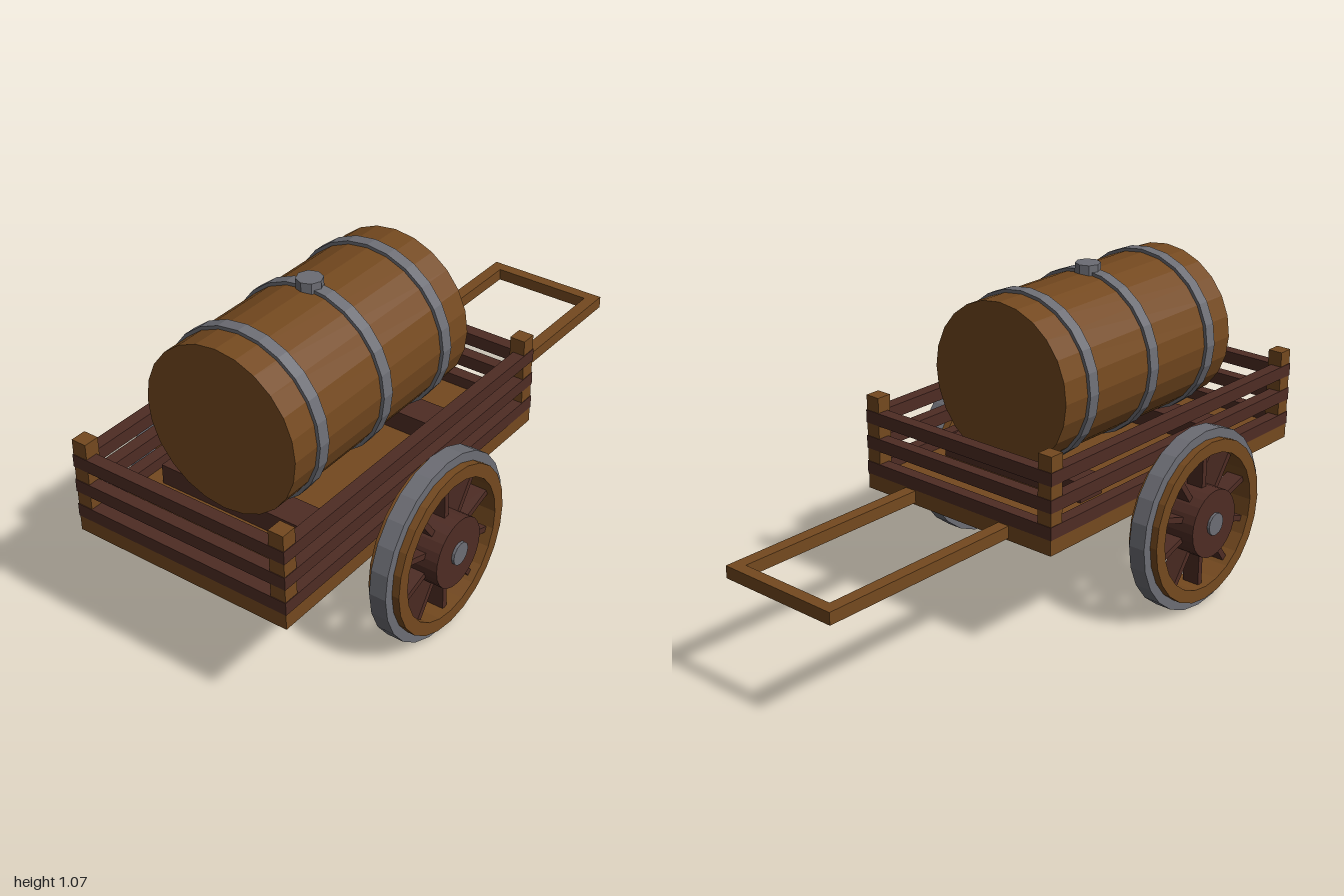
import * as THREE from 'three';

const material = (name, color) => {
  const m = new THREE.MeshStandardMaterial({ color });
  m.name = name;
  return m;
};

export function createModel() {
  const wood = material('wood', 0x74491f);
  const darkWood = material('darkWood', 0x4e2c24);
  const iron = material('iron', 0x6c6d74);
  const model = new THREE.Group();
  model.name = 'barrelCart';

  // Adds a mesh with faceted normals
  const add = (parent, name, geometry, mat, x = 0, y = 0, z = 0) => {
    const flat = geometry.index ? geometry.toNonIndexed() : geometry;
    flat.computeVertexNormals();
    const mesh = new THREE.Mesh(flat, mat);
    mesh.name = name;
    mesh.position.set(x, y, z);
    parent.add(mesh);
    return mesh;
  };
  // Box given by its limits on each axis
  const box = (name, mat, x0, x1, y0, y1, z0, z1) =>
    add(model, name, new THREE.BoxGeometry(x1 - x0, y1 - y0, z1 - z0), mat,
      (x0 + x1) / 2, (y0 + y1) / 2, (z0 + z1) / 2);
  const cylinderZ = (r, length, sides) =>
    new THREE.CylinderGeometry(r, r, length, sides).rotateX(Math.PI / 2);
  const cylinderX = (r, length, sides) =>
    new THREE.CylinderGeometry(r, r, length, sides).rotateZ(Math.PI / 2);
  const ringX = (inner, outer, width) => new THREE.LatheGeometry(
    [[inner, -1], [outer, -1], [outer, 1], [inner, 1], [inner, -1]]
      .map(([r, s]) => new THREE.Vector2(r, s * width / 2)), 24).rotateZ(Math.PI / 2);

  // Bed and corner posts
  const W = 0.387, back = -0.26, front = 1;
  box('bed', wood, -W + 0.002, W - 0.002, 0.372, 0.43, back + 0.002, front - 0.002);
  for (const s of [-1, 1]) {
    for (const z of [back + 0.028, front - 0.028]) {
      const x = s * (W - 0.028);
      box('cornerPost', wood, x - 0.026, x + 0.026, 0.42, 0.694, z - 0.026, z + 0.026);
    }
  }

  // Three rows of slats round the bed
  for (const y of [0.424, 0.512, 0.6]) {
    for (const s of [-1, 1]) {
      const x = s * (W - 0.021);
      box('sideSlat', darkWood, x - 0.021, x + 0.021, y, y + 0.043, back, front);
    }
    for (const z of [back, front - 0.042])
      box('endSlat', darkWood, -W + 0.001, W - 0.001, y, y + 0.043, z, z + 0.042);
  }

  // Pull handle
  for (const s of [-1, 1])
    box('handleShaft', wood, s * 0.197 - 0.021, s * 0.197 + 0.021, 0.38, 0.421, -1, back + 0.02);
  box('handleBar', wood, -0.176, 0.176, 0.38, 0.421, -1, -0.96);

  // Cradles, barrel, hoops and bung
  for (const z of [0.05, 0.69])
    box('cradle', darkWood, -0.288, 0.288, 0.42, 0.497, z - 0.052, z + 0.052);
  add(model, 'barrel', cylinderZ(0.27, 0.85, 24), wood, 0, 0.766, 0.37);
  for (const z of [0.07, 0.373, 0.676])
    add(model, 'barrelHoop', cylinderZ(0.281, 0.042, 24), iron, 0, 0.766, z);
  add(model, 'bung', new THREE.CylinderGeometry(0.042, 0.042, 0.06, 8), iron, 0, 1.036, 0.372);

  // Axle and wheels
  const axleY = 0.306, axleZ = 0.372;
  add(model, 'axle', cylinderX(0.031, 0.8, 12), iron, 0, axleY, axleZ);
  for (const s of [-1, 1]) {
    const wheel = new THREE.Group();
    wheel.name = s > 0 ? 'leftWheel' : 'rightWheel';
    wheel.position.set(s * 0.46, axleY, axleZ);
    add(wheel, 'tyre', ringX(0.265, 0.306, 0.058), iron);
    add(wheel, 'rim', ringX(0.232, 0.275, 0.108), wood);
    add(wheel, 'hub', cylinderX(0.115, 0.15, 24), darkWood);
    add(wheel, 'hubCap', cylinderX(0.038, 0.168, 12), iron);
    for (let i = 0; i < 10; i++) {
      const spoke = new THREE.BoxGeometry(0.06, 0.16, 0.02)
        .translate(0, -0.17, 0).rotateX(i * Math.PI / 5);
      add(wheel, 'spoke', spoke, darkWood);
    }
    model.add(wheel);
  }
  return model;
}
